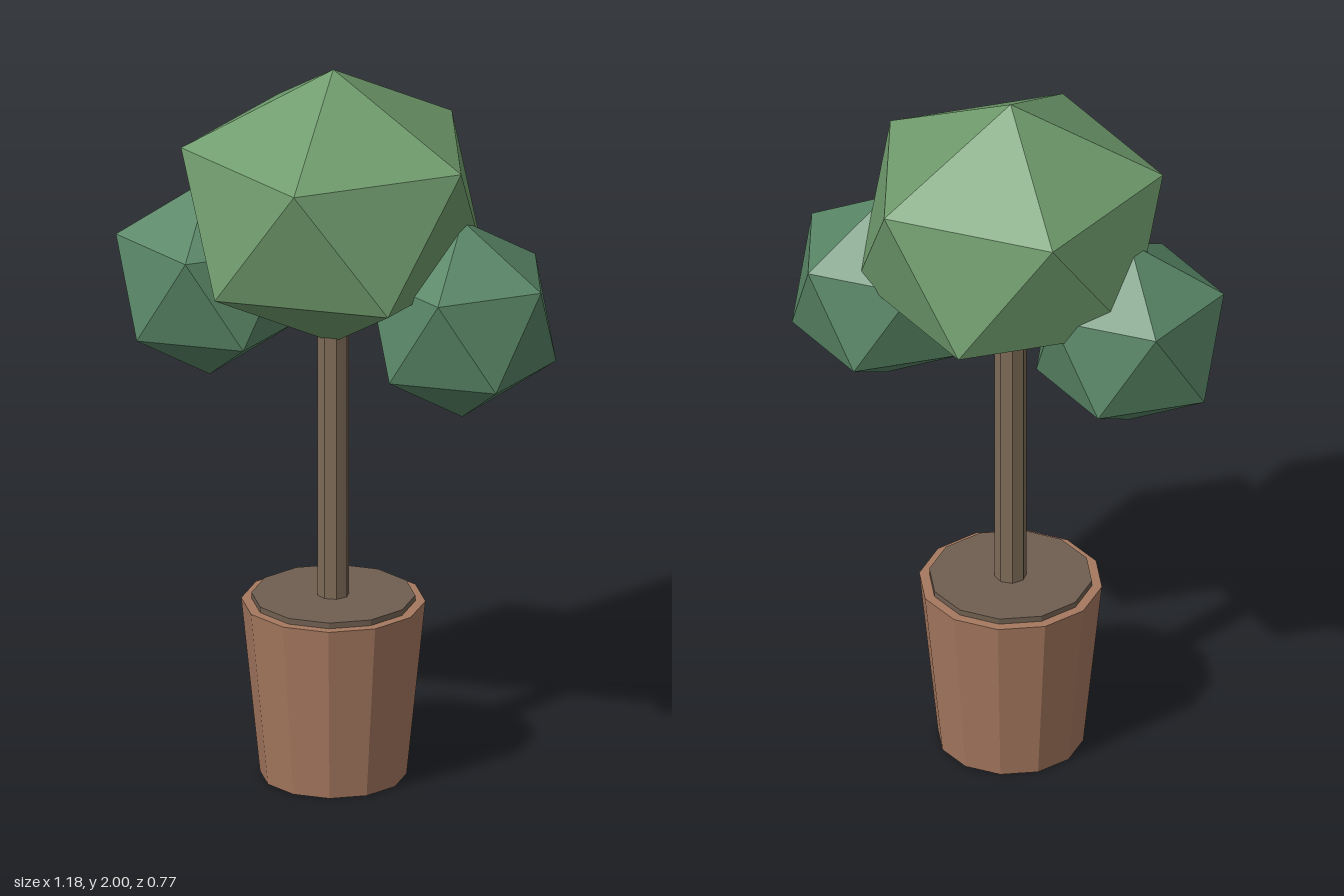
import * as THREE from 'three';

const AXIS_X = -0.01; // pot, trunk and crown share this axis

function material(color) {
  return new THREE.MeshStandardMaterial({ color, flatShading: true });
}

// Faceted cylinder standing between two heights
function column(name, rTop, rBottom, y0, y1, sides, color) {
  const geometry = new THREE.CylinderGeometry(rTop, rBottom, y1 - y0, sides);
  const mesh = new THREE.Mesh(geometry, material(color));
  mesh.name = name;
  mesh.position.set(AXIS_X, (y0 + y1) / 2, 0);
  return mesh;
}

// Icosahedron turned so that one corner points straight up
function foliage(name, radius, height, x, y, z, color) {
  const geometry = new THREE.IcosahedronGeometry(1, 0);
  geometry.rotateZ(-Math.atan(2 / (1 + Math.sqrt(5))));
  geometry.scale(radius, height, radius);
  geometry.computeVertexNormals();
  const mesh = new THREE.Mesh(geometry, material(color));
  mesh.name = name;
  mesh.position.set(x, y, z);
  return mesh;
}

export function createModel() {
  const tree = new THREE.Group();
  tree.name = 'pottedTree';

  // Pot, soil and trunk
  tree.add(
    column('pot', 0.245, 0.195, 0, 0.492, 12, 0xa5785f),
    column('soil', 0.218, 0.218, 0.45, 0.508, 12, 0x6f5f50),
    column('trunk', 0.043, 0.043, 0.48, 1.5, 8, 0x7d6a57),
  );

  // Large crown with a smaller clump on each side
  tree.add(
    foliage('crown', 0.453, 0.388, AXIS_X, 1.612, 0, 0x6f9b6c),
    foliage('leftClump', 0.279, 0.279, 0.34, 1.335, -0.09, 0x588565),
    foliage('rightClump', 0.279, 0.279, -0.345, 1.37, 0.087, 0x588565),
  );

  return tree;
}
